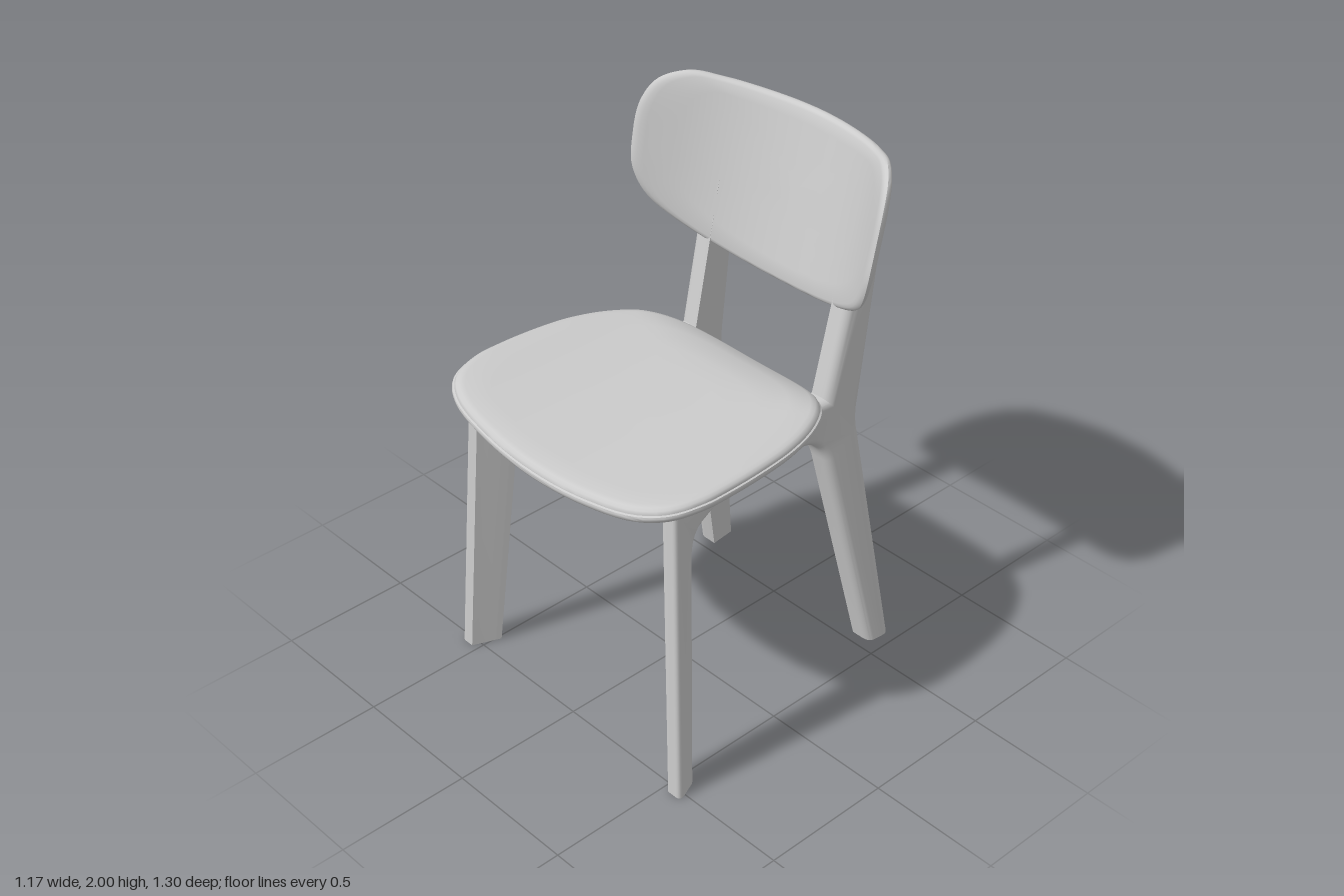
import * as THREE from 'three';
import { toCreasedNormals } from 'three/addons/utils/BufferGeometryUtils.js';

const material = new THREE.MeshStandardMaterial({ color: 0xcccccc });

// Closed smooth outline from half of its points, mirrored in x.
function symmetricOutline(half, count) {
  const other = half.slice(1, -1).reverse().map(([x, y]) => [-x, y]);
  const points = [...half, ...other].map(([x, y]) => new THREE.Vector3(x, y, 0));
  return new THREE.CatmullRomCurve3(points, true, 'centripetal').getPoints(count).slice(0, count);
}

// Solid panel: rings of the outline scaled by s at height h, bent by a map function.
function panel(outline, centre, profile, map) {
  const n = outline.length;
  const rings = profile.map(([s, h]) => outline.map((p) =>
    map(p.x * s, centre + (p.y - centre) * s, h)));
  const positions = [];
  const tri = (...corners) => corners.forEach((v) => positions.push(v.x, v.y, v.z));
  for (let i = 0; i < rings.length - 1; i++) {
    const a = rings[i], b = rings[i + 1];
    for (let j = 0; j < n; j++) {
      const k = (j + 1) % n;
      if (profile[i + 1][0] > 0) tri(a[j], b[j], b[k]);
      if (profile[i][0] > 0) tri(a[j], b[k], a[k]);
    }
  }
  const geometry = new THREE.BufferGeometry();
  geometry.setAttribute('position', new THREE.Float32BufferAttribute(positions, 3));
  return toCreasedNormals(geometry, 0.7);
}

// Leg and rail cut from one board: a side profile (drawn in -z, y) is extruded
// along x with a flat inner face and a rounded outer face, then splayed.
function legBoard(draw, thickness, bevel, centreX, mirrored) {
  const shape = new THREE.Shape();
  draw({
    move: (z, y) => shape.moveTo(-z, y),
    line: (z, y) => shape.lineTo(-z, y),
    curve: (cz, cy, z, y) => shape.quadraticCurveTo(-cz, cy, -z, y),
  });
  const geometry = new THREE.ExtrudeGeometry(shape, {
    depth: thickness - bevel, bevelThickness: bevel, bevelSize: bevel,
    bevelOffset: -bevel, bevelSegments: 5, curveSegments: 10,
  });
  geometry.rotateY(Math.PI / 2);
  const pos = geometry.attributes.position;
  for (let i = 0; i < pos.count; i++) {
    const y = Math.max(0, pos.getY(i)), z = pos.getZ(i);
    const x = Math.max(0, pos.getX(i)) - thickness / 2 + centreX(y, z);
    pos.setXYZ(i, mirrored ? -x : x, y, z);
  }
  if (mirrored) {
    // keep the faces pointing outwards
    const p = new THREE.Vector3(), q = new THREE.Vector3();
    for (let i = 0; i < pos.count; i += 3) {
      p.fromBufferAttribute(pos, i + 1);
      q.fromBufferAttribute(pos, i + 2);
      pos.setXYZ(i + 1, q.x, q.y, q.z);
      pos.setXYZ(i + 2, p.x, p.y, p.z);
    }
  }
  geometry.deleteAttribute('normal');
  geometry.deleteAttribute('uv');
  return toCreasedNormals(geometry, 0.6);
}

function drawFront(pen) {
  pen.move(-0.03, 0.945);
  pen.line(0.3, 0.962);
  pen.curve(0.365, 0.965, 0.37, 0.87);
  pen.line(0.428, -0.05);
  pen.line(0.532, -0.05);
  pen.line(0.49, 1.14);
  pen.line(-0.03, 1.095);
}

function drawBack(pen) {
  pen.move(0.03, 0.945);
  pen.line(-0.26, 0.945);
  pen.curve(-0.34, 0.945, -0.362, 0.85);
  pen.line(-0.543, -0.05);
  pen.line(-0.643, -0.05);
  pen.line(-0.508, 0.92);
  pen.curve(-0.495, 1.0, -0.505, 1.06);
  pen.line(-0.588, 1.79);
  pen.curve(-0.592, 1.82, -0.57, 1.82);
  pen.line(-0.517, 1.82);
  pen.line(-0.43, 1.42);
  pen.line(-0.36, 1.1);
  pen.line(0.03, 1.09);
}

export function createModel() {
  const group = new THREE.Group();
  const add = (name, geometry) => {
    const mesh = new THREE.Mesh(geometry, material);
    mesh.name = name;
    group.add(mesh);
    return mesh;
  };

  // Seat: dished across its width, falling a little at the back, with a two-step rim
  const seatOutline = symmetricOutline([
    [0, -0.645], [0.25, -0.632], [0.45, -0.595], [0.54, -0.53], [0.58, -0.42], [0.585, -0.3],
    [0.575, -0.13], [0.555, 0], [0.51, 0.135], [0.44, 0.25], [0.33, 0.345], [0.19, 0.395], [0, 0.41],
  ], 120);
  const seatProfile = [
    [0, 0], [0.2, 0], [0.4, 0], [0.6, 0], [0.8, 0], [0.93, 0], [0.96, -0.004], [0.978, -0.012],
    [0.986, -0.022], [0.986, -0.025], [0.997, -0.028], [1, -0.034], [0.997, -0.042], [0.985, -0.052],
    [0.96, -0.06], [0.8, -0.06], [0.6, -0.06], [0.4, -0.06], [0.2, -0.06], [0, -0.06],
  ];
  add('seat', panel(seatOutline, -0.12, seatProfile, (x, b, h) => {
    const drop = 1.5 * Math.max(0, b - 0.2) ** 2;
    return new THREE.Vector3(x, 1.132 + 0.2 * x * x - drop + h, -b);
  }));

  // Backrest: leaning panel bent around a vertical arc
  const backOutline = symmetricOutline([
    [0, 1.36], [0.2, 1.382], [0.38, 1.448], [0.5, 1.54], [0.555, 1.65], [0.568, 1.77],
    [0.562, 1.9], [0.53, 1.97], [0.46, 2.0], [0.36, 1.99], [0.2, 1.975], [0, 1.97],
  ], 120);
  const t = 0.0175, R = 0.73;
  const backHalf = [[0, t], [0.2, t], [0.4, t], [0.6, t], [0.8, t], [0.95, t], [0.975, 0.8 * t], [0.992, 0.45 * t]];
  const backProfile = [...backHalf, [1, 0], ...backHalf.map(([s, h]) => [s, -h]).reverse()];
  add('backrest', panel(backOutline, 1.7, backProfile, (x, y, h) => {
    const depth = Math.sqrt(R * R - x * x);
    const z = -0.4975 - 0.23 * (y - 1.36) + R - depth;
    return new THREE.Vector3(x - (h * x) / R, y, z + (h * depth) / R);
  }));

  // Legs with their rails, meeting at the middle of the seat
  const splay = (y) => Math.max(0, 1 - y / 0.95);
  const frontX = (y, z) => 0.29 + 0.41 * z + 0.05 * splay(y);
  const backX = (y, z) => 0.29 - 0.1 * z + 0.065 * splay(y);
  for (const side of ['left', 'right']) {
    const mirrored = side === 'right';
    add(side + 'FrontLegAndRail', legBoard(drawFront, 0.062, 0.024, frontX, mirrored));
    add(side + 'BackLegAndRail', legBoard(drawBack, 0.08, 0.03, backX, mirrored));
  }

  // Crossbar under the seat
  add('crossbar', new THREE.BoxGeometry(0.56, 0.135, 0.08)).position.set(0, 1.0125, 0);

  return group;
}
